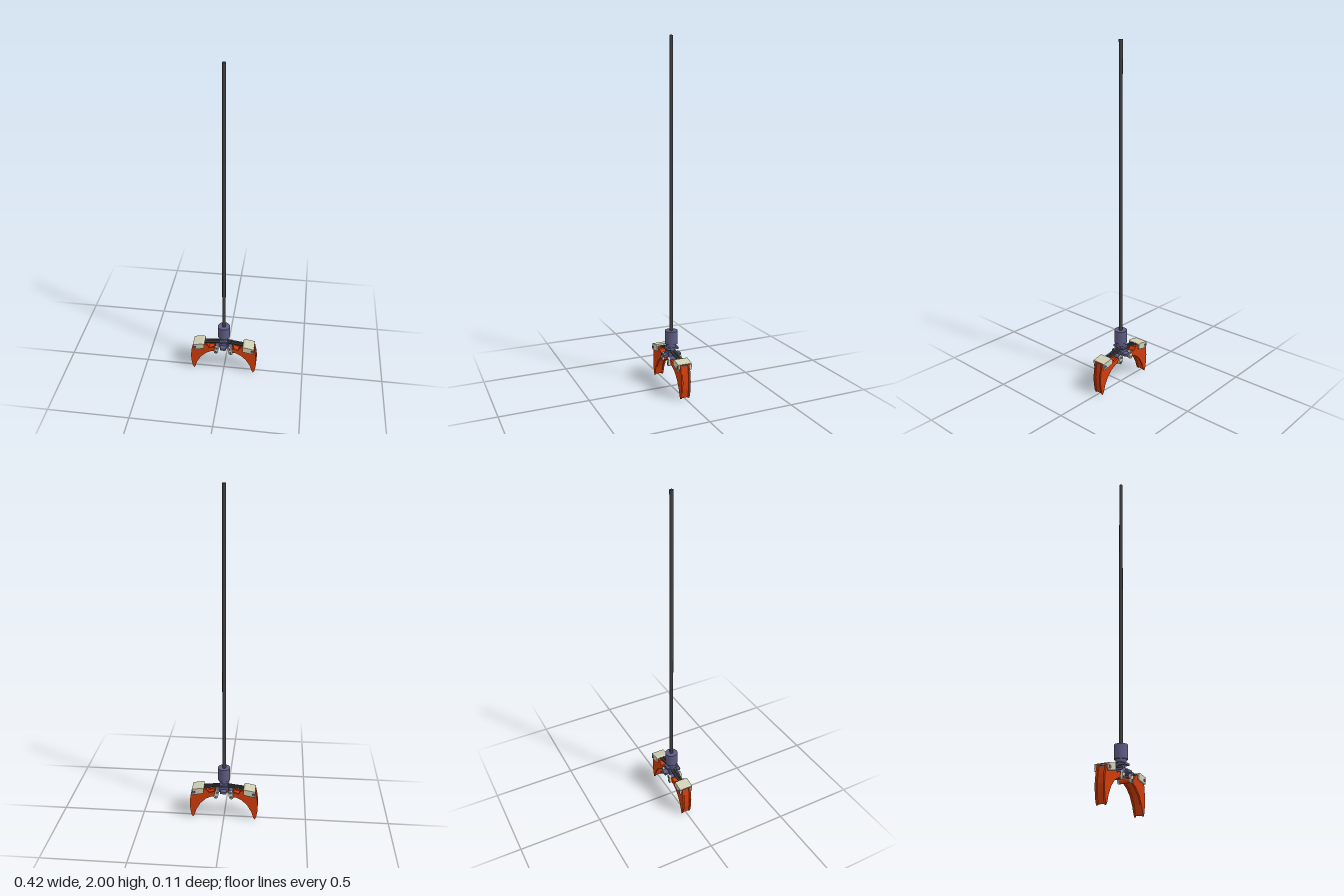
import * as THREE from 'three';

const mat = (name, color) => {
  const m = new THREE.MeshStandardMaterial({ color });
  m.name = name;
  return m;
};

export function createModel() {
  const orange = mat('claw orange', 0xd03c0a);
  const beige = mat('bracket beige', 0xcfcfb4);
  const purple = mat('steel purple', 0x5e5c82);
  const dark = mat('dark rubber', 0x414144);

  const model = new THREE.Group();
  model.name = 'grapple';

  const add = (parent, name, geometry, material, x = 0, y = 0, z = 0) => {
    const mesh = new THREE.Mesh(geometry, material);
    mesh.name = name;
    mesh.position.set(x, y, z);
    parent.add(mesh);
    return mesh;
  };
  // Plate drawn in the xy plane, centred on the given z
  const plate = (parent, name, points, depth, z, material) => {
    const shape = new THREE.Shape(points.map(p => new THREE.Vector2(...p)));
    const g = new THREE.ExtrudeGeometry(shape, { depth, bevelEnabled: false });
    return add(parent, name, g, material, 0, 0, z - depth / 2);
  };
  // Pin lying along z
  const pin = (parent, name, x, y, r, length, material) => {
    const g = new THREE.CylinderGeometry(r, r, length, 16).rotateX(Math.PI / 2);
    return add(parent, name, g, material, x, y, 0);
  };
  const cyl = (parent, name, r, y0, y1, material) =>
    add(parent, name, new THREE.CylinderGeometry(r, r, y1 - y0, 32), material, 0, (y0 + y1) / 2, 0);

  // Hanging rod and rotator stack
  cyl(model, 'rod', 0.0105, 0.33, 2, dark);
  cyl(model, 'rotatorHousing', 0.037, 0.262, 0.34, purple);
  cyl(model, 'rotatorNeck', 0.029, 0.244, 0.262, purple);
  cyl(model, 'swivel', 0.021, 0.19, 0.25, purple);

  // Cross plates with rounded ends, longest along z
  const crossPlate = (name, halfX, halfZ, y0, y1) => {
    const s = new THREE.Shape();
    s.moveTo(-halfX, -halfZ + 0.003);
    s.quadraticCurveTo(0, -halfZ - 0.003, halfX, -halfZ + 0.003);
    s.lineTo(halfX, halfZ - 0.003);
    s.quadraticCurveTo(0, halfZ + 0.003, -halfX, halfZ - 0.003);
    s.closePath();
    const g = new THREE.ExtrudeGeometry(s, { depth: y1 - y0, bevelEnabled: false, curveSegments: 6 });
    add(model, name, g.rotateX(-Math.PI / 2), purple, 0, y0, 0);
  };
  crossPlate('upperCrossPlate', 0.025, 0.039, 0.23, 0.241);
  crossPlate('lowerCrossPlate', 0.019, 0.056, 0.188, 0.202);
  add(model, 'centreBlock', new THREE.BoxGeometry(0.056, 0.034, 0.052), purple, 0, 0.2, 0);

  // Side outline of a claw and of the recessed core between its cheeks
  const cheek = [
    [0.047, 0.152], [0.075, 0.152], [0.11, 0.133], [0.143, 0.1], [0.168, 0.055], [0.182, 0.012],
    [0.19, 0.0], [0.199, 0.018], [0.206, 0.06], [0.208, 0.105], [0.202, 0.155], [0.193, 0.2],
    [0.125, 0.203], [0.105, 0.199], [0.09, 0.176], [0.06, 0.186], [0.045, 0.18],
  ];
  const core = [
    [0.06, 0.158], [0.079, 0.158], [0.115, 0.138], [0.149, 0.104], [0.174, 0.058], [0.186, 0.014],
    [0.19, 0.005], [0.193, 0.02], [0.199, 0.06], [0.2, 0.105], [0.195, 0.152], [0.187, 0.193],
    [0.125, 0.194], [0.109, 0.19], [0.094, 0.17], [0.06, 0.177],
  ];
  const cover = [[0.121, 0.178], [0.19, 0.164], [0.192, 0.203], [0.132, 0.214], [0.121, 0.21]];
  const coverTop = [[0.19, 0.199], [0.192, 0.203], [0.132, 0.214], [0.121, 0.21], [0.121, 0.205], [0.132, 0.209]];

  for (const side of ['left', 'right']) {
    const arm = new THREE.Group();
    arm.name = side + 'Claw';
    if (side === 'right') arm.rotation.y = Math.PI;
    model.add(arm);

    plate(arm, 'clawCore', core, 0.04, 0, orange);
    for (const s of [-1, 1]) {
      plate(arm, 'clawCheek', cheek, 0.01, s * 0.023, orange);
      plate(arm, 'coverCheek', cover, 0.009, s * 0.0365, beige);

      // Push bar from the swivel to the cover
      const bar = add(arm, 'pushBar', new THREE.BoxGeometry(0.128, 0.009, 0.011), dark, 0.077, 0.212, s * 0.0095);
      bar.rotation.z = -0.12;

      // Hinge lug: two rounded ends joined by a tilted strap
      const lug = new THREE.Shape();
      lug.absarc(0, 0.014, 0.013, 0, Math.PI);
      lug.absarc(0, -0.014, 0.013, Math.PI, 2 * Math.PI);
      const g = new THREE.ExtrudeGeometry(lug, { depth: 0.011, bevelEnabled: false, curveSegments: 8 });
      const strap = add(arm, 'hingeLug', g, beige, 0.044, 0.173, s * 0.0365 - 0.0055);
      strap.rotation.z = 0.2;
    }
    plate(arm, 'coverTop', coverTop, 0.066, 0, beige);

    // Pins and their sleeves
    pin(arm, 'coverPin', 0.18, 0.184, 0.009, 0.088, purple);
    pin(arm, 'upperHingePin', 0.041, 0.187, 0.007, 0.088, purple);
    pin(arm, 'lowerHingePin', 0.047, 0.159, 0.007, 0.088, purple);
    pin(arm, 'upperSleeve', 0.041, 0.187, 0.013, 0.06, purple);
    pin(arm, 'lowerSleeve', 0.047, 0.16, 0.012, 0.06, orange);
  }
  return model;
}
